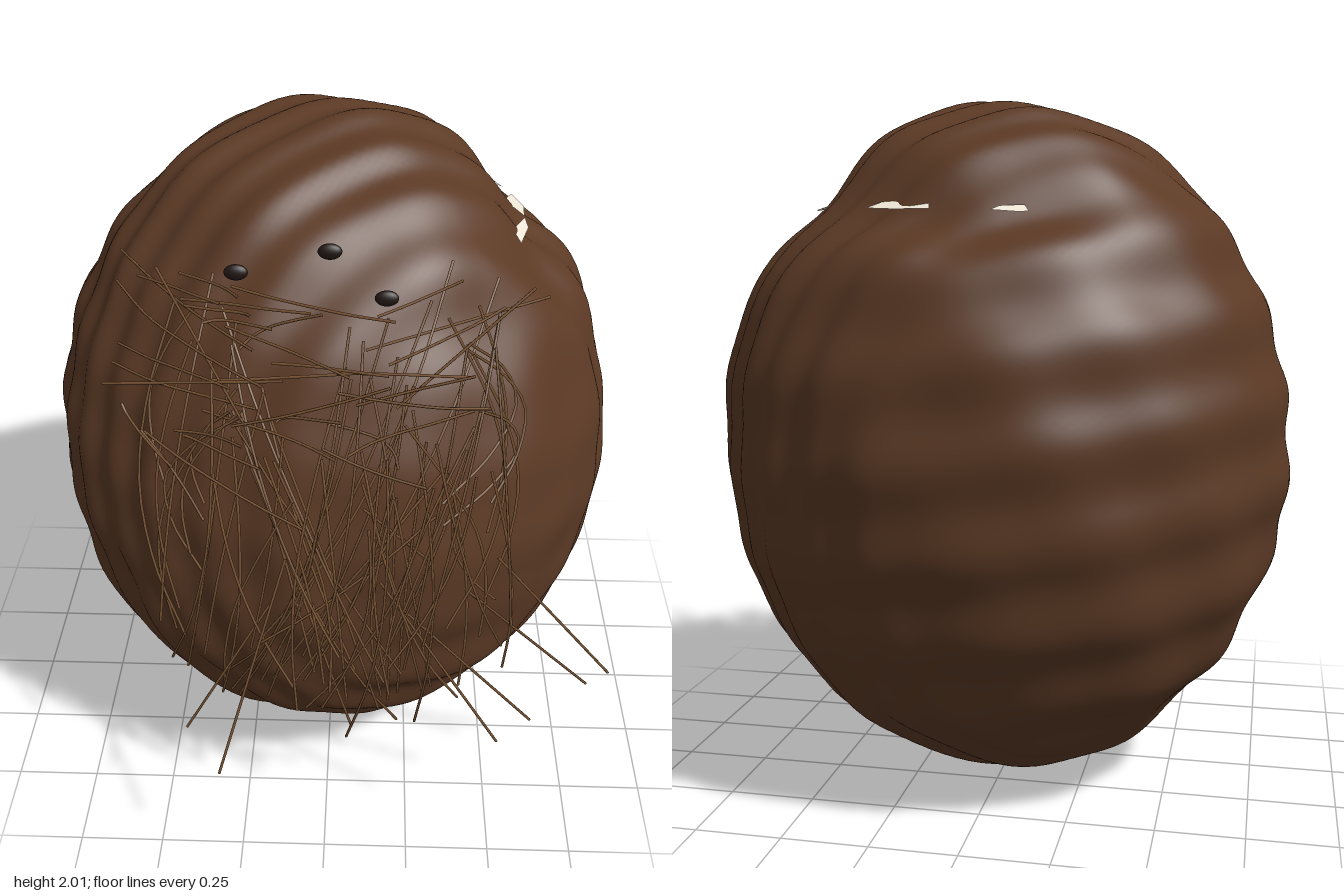
import * as THREE from 'three';
import { mergeGeometries, mergeVertices } from 'three/addons/utils/BufferGeometryUtils.js';

const V = (x, y, z) => new THREE.Vector3(x, y, z);
const material = (color, extra = {}) =>
  new THREE.MeshStandardMaterial({ color, ...extra });

function seeded(seed) {
  return () => {
    seed = (seed * 1664525 + 1013904223) % 4294967296;
    return seed / 4294967296;
  };
}

// Husk: an egg, leaning back towards the top, with rippled skin
const RX = 0.832, RZ = 0.758;
const leanZ = (h) => -0.1 - 0.06 * h;

function huskPoint(d) {
  // shallow hollow around the shoulder where the flesh shows
  const shoulder = THREE.MathUtils.smoothstep(0.7 * d.x - 0.7 * d.z, 0, 0.4);
  const hollow = 0.065 * shoulder * Math.exp(-(((d.y - 0.74) / 0.13) ** 2));
  // level rings on one back corner, slanting ridges everywhere else
  const corner = THREE.MathUtils.smoothstep(-0.7 * d.x - 0.7 * d.z, 0.2, 0.75);
  const slant = Math.sin(35 * (0.5 * d.x + 0.83 * d.z) + 5 * d.y);
  const rings = Math.sin(25 * d.y + 3 * d.x);
  const lumps = Math.sin(11 * d.x - 5 * d.y + 2) * Math.sin(9 * d.z + 4 * d.y);
  const r = 1 - hollow + 0.009 * slant * (1 - 0.85 * corner)
    + 0.01 * rings * (0.35 + 0.65 * corner) + 0.01 * lumps;
  return V(d.x * RX * r, 1 + d.y * r * 0.992, d.z * RZ * r + leanZ(d.y));
}

function frontZ(x, y) {
  const s = 1 - (x / RX) ** 2 - (y - 1) ** 2;
  return leanZ(y - 1) + RZ * Math.sqrt(Math.max(s, 0.08));
}

function makeHusk() {
  let g = new THREE.IcosahedronGeometry(1, 48);
  g.deleteAttribute('uv');
  g.deleteAttribute('normal');
  g = mergeVertices(g, 1e-5);
  const p = g.attributes.position;
  for (let i = 0; i < p.count; i++) {
    const q = huskPoint(V(0, 0, 0).fromBufferAttribute(p, i).normalize());
    p.setXYZ(i, q.x, q.y, q.z);
  }
  g.computeVertexNormals();
  return new THREE.Mesh(g, material(0x5c3a25));
}

// Exposed flesh: nearly level polygons (x, z) showing in the shoulder hollow
function makeSliver(outline) {
  const shape = new THREE.Shape(outline.map(([x, z]) => new THREE.Vector2(x, z)));
  const g = new THREE.ShapeGeometry(shape);
  const p = g.attributes.position;
  for (let i = 0; i < p.count; i++) {
    const x = p.getX(i), z = p.getY(i);
    p.setXYZ(i, x, 1.69 + 0.4 * (0.57 - Math.hypot(x, z + 0.08)), z);
  }
  g.computeVertexNormals();
  return new THREE.Mesh(g, material(0xf0e8d8, { side: THREE.DoubleSide }));
}

function tube(points, radius) {
  return new THREE.TubeGeometry(new THREE.CatmullRomCurve3(points), 14, radius, 5);
}

// Strand hanging in front of the husk, bowed sideways between its two ends
function strand(x0, y0, x1, y1, bow, lift0, lift1) {
  const points = [];
  for (let i = 0; i <= 4; i++) {
    const t = i / 4;
    const x = THREE.MathUtils.lerp(x0, x1, t) + bow * Math.sin(Math.PI * t);
    const y = THREE.MathUtils.lerp(y0, y1, t);
    const lift = THREE.MathUtils.lerp(lift0, lift1, t) - 0.025 * Math.sin(Math.PI * t);
    points.push(V(x, y, frontZ(x, y) + lift));
  }
  return tube(points, 0.004);
}

function makeFibres() {
  const rand = seeded(17);
  const range = (a, b) => a + (b - a) * rand();
  const list = [];
  // long hanging strands
  for (let i = 0; i < 54; i++) {
    const x0 = range(-0.32, 0.45);
    const x1 = THREE.MathUtils.clamp(x0 * 0.55 + range(-0.38, 0.36), -0.46, 0.52);
    list.push(strand(x0, range(1.2, 1.78), x1, range(0.42, 0.85),
      range(-0.06, 0.06), range(0.04, 0.11), range(0.03, 0.15)));
  }
  // short tangled strands across the top, sloping both ways
  for (let i = 0; i < 30; i++) {
    const x0 = range(-0.58, 0.22), y0 = range(1.38, 1.74);
    list.push(strand(x0, y0, x0 + range(0.15, 0.42), y0 + range(-0.2, 0.25) * (1.85 - y0) * 2.2,
      range(-0.05, 0.05), range(0.05, 0.16), range(0.08, 0.18)));
  }
  // curled strands at both sides
  for (let i = 0; i < 14; i++) {
    const s = i % 2 ? 1 : -1;
    list.push(strand(s * range(0.2, 0.4), range(1.45, 1.72), s * range(0.28, 0.5),
      range(0.65, 1.25), s * range(0.06, 0.17), 0.08, range(0.04, 0.07)));
  }
  // straight stray strands
  const strays = [
    [[0.1, 1.25, 0.67], [0.79, 0.42, 0.46]],
    [[0.47, 1.02, 0.58], [0.82, 0.59, 0.58]],
    [[-0.1, 1.1, 0.7], [-0.29, 0.44, 0.86]],
    [[0.15, 1.0, 0.67], [0.49, 0.5, 0.77]],
    [[0.2, 0.9, 0.65], [0.6, 0.45, 0.64]],
    [[-0.15, 0.9, 0.66], [-0.4, 0.45, 0.7]],
    [[0.1, 1.62, 0.5], [0.58, 1.66, 0.28]],
    [[-0.57, 1.52, 0.52], [-0.1, 1.6, 0.62]],
    [[0.18, 1.5, 0.58], [0.52, 1.76, 0.42]],
    [[-0.42, 1.82, 0.45], [-0.2, 1.45, 0.6]],
  ];
  for (const [a, b] of strays) list.push(tube([V(...a), V(...b)], 0.004));
  return new THREE.Mesh(mergeGeometries(list), material(0x7a5535));
}

export function createModel() {
  const model = new THREE.Group();
  const add = (mesh, name) => {
    mesh.name = name;
    model.add(mesh);
    return mesh;
  };

  add(makeHusk(), 'husk');

  const slivers = [
    [[-0.17, -0.64], [-0.14, -0.65], [-0.07, -0.65], [-0.09, -0.62], [-0.15, -0.6]],
    [[0.09, -0.64], [0.2, -0.61], [0.285, -0.56], [0.21, -0.51], [0.15, -0.55], [0.1, -0.6]],
    [[0.47, -0.39], [0.5, -0.33], [0.45, -0.34]],
    [[0.52, -0.28], [0.55, -0.2], [0.545, -0.12], [0.49, -0.19]],
    [[0.545, -0.11], [0.55, -0.05], [0.52, 0.06], [0.5, 0.0]],
  ];
  for (const s of slivers) add(makeSliver(s), 'fleshSliver');

  // Three dark germination eyes
  const eyeGeometry = new THREE.SphereGeometry(1, 20, 14);
  const eyeMaterial = material(0x1f1512);
  for (const [x, y, z] of [[-0.22, 1.82, 0.475], [0.01, 1.88, 0.475], [0.15, 1.76, 0.485]]) {
    const eye = add(new THREE.Mesh(eyeGeometry, eyeMaterial), 'eye');
    eye.position.set(x, y, z);
    eye.scale.set(0.03, 0.02, 0.012);
    eye.rotation.x = -0.25;
  }

  add(makeFibres(), 'fibres');
  return model;
}
